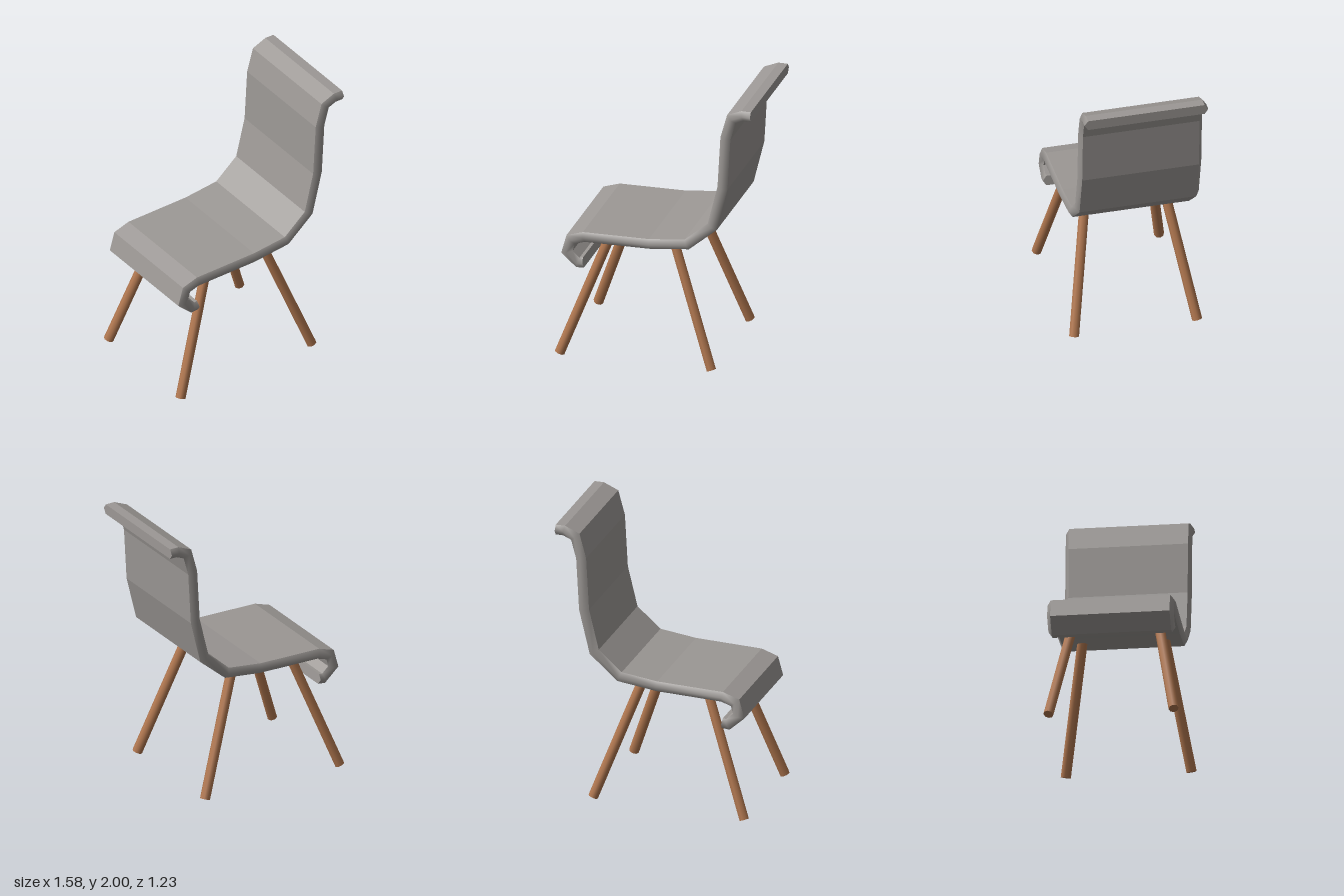
import * as THREE from 'three';

// Side profile of the shell (centre line): front roll, seat, back, top roll
const PROFILE = [
  [-0.5, 0.7], [-0.54, 0.695], [-0.618, 0.765], [-0.592, 0.86], [-0.498, 0.892],
  [-0.03, 0.907], [0.237, 0.942], [0.419, 1.1], [0.492, 1.4], [0.513, 1.775],
  [0.555, 1.928], [0.635, 1.963], [0.695, 1.963],
].map(([x, y]) => new THREE.Vector2(x, y));
const T = 0.036, HALF = 0.433, FLAT = 0.408;

// Six-sided cross-section as [z, offset along the profile normal]
const SECTION = [[-HALF, 0], [-FLAT, T], [FLAT, T], [HALF, 0], [FLAT, -T], [-FLAT, -T]];

function shellPoints() {
  const normal = (a, b) => {
    const d = b.clone().sub(a).normalize();
    return new THREE.Vector2(-d.y, d.x);
  };
  const out = [];
  PROFILE.forEach((p, i) => {
    const n0 = i > 0 ? normal(PROFILE[i - 1], p) : normal(p, PROFILE[1]);
    const n1 = i < PROFILE.length - 1 ? normal(p, PROFILE[i + 1]) : n0;
    const mitre = n0.clone().add(n1).normalize();
    mitre.divideScalar(mitre.dot(n0));
    for (const [z, off] of SECTION) out.push(p.x + mitre.x * off, p.y + mitre.y * off, z);
  });
  return out;
}

// Surface strips between the listed section corners, along the whole profile
function strips(points, sides, smooth, caps = false) {
  const index = [];
  const last = PROFILE.length - 1;
  for (let i = 0; i < last; i++) {
    for (const k of sides) {
      const p = i * 6 + k, q = i * 6 + (k + 1) % 6;
      index.push(p, q, q + 6, p, q + 6, p + 6);
    }
  }
  if (caps) {
    for (let k = 1; k < 5; k++) {
      index.push(0, k + 1, k, last * 6, last * 6 + k, last * 6 + k + 1);
    }
  }
  let g = new THREE.BufferGeometry();
  g.setAttribute('position', new THREE.Float32BufferAttribute(points, 3));
  g.setIndex(index);
  if (!smooth) g = g.toNonIndexed();
  g.computeVertexNormals();
  return g;
}

export function createModel() {
  const grey = new THREE.MeshStandardMaterial({ color: 0x9c9895 });
  grey.name = 'warm grey';
  const wood = new THREE.MeshStandardMaterial({ color: 0xb27850 });
  wood.name = 'brown wood';

  const model = new THREE.Group();
  model.name = 'chair';
  const chair = new THREE.Group();
  chair.name = 'turnedChair';
  chair.rotation.y = -0.286;
  model.add(chair);

  const add = (name, geometry, material, parent) => {
    const m = new THREE.Mesh(geometry, material);
    m.name = name;
    parent.add(m);
    return m;
  };

  // Curved shell: faceted faces and softly shaded rims
  const shell = new THREE.Group();
  shell.name = 'shell';
  shell.position.z = 0.005;
  chair.add(shell);
  const points = shellPoints();
  add('seatAndBack', strips(points, [1, 4], false, true), grey, shell);
  add('nearRim', strips(points, [2, 3], true), grey, shell);
  add('farRim', strips(points, [5, 0], true), grey, shell);

  // Splayed legs
  const legs = new THREE.Group();
  legs.name = 'legs';
  legs.position.z = 0.014;
  chair.add(legs);
  const up = new THREE.Vector3(0, 1, 0);
  for (const side of [1, -1]) {
    const pairs = [
      ['rollLeg', [-0.661, 0.016, 0.428 * side], [-0.342, 0.885, 0.279 * side]],
      ['backLeg', [0.422, 0.041, 0.43 * side], [0.108, 0.9, 0.281 * side]],
    ];
    for (const [name, a, b] of pairs) {
      const foot = new THREE.Vector3(...a), top = new THREE.Vector3(...b);
      const dir = top.clone().sub(foot);
      const g = new THREE.CylinderGeometry(0.035, 0.035, dir.length(), 8);
      const leg = add(name, g, wood, legs);
      leg.position.copy(foot).add(top).multiplyScalar(0.5);
      leg.quaternion.setFromUnitVectors(up, dir.normalize());
    }
  }
  return model;
}
